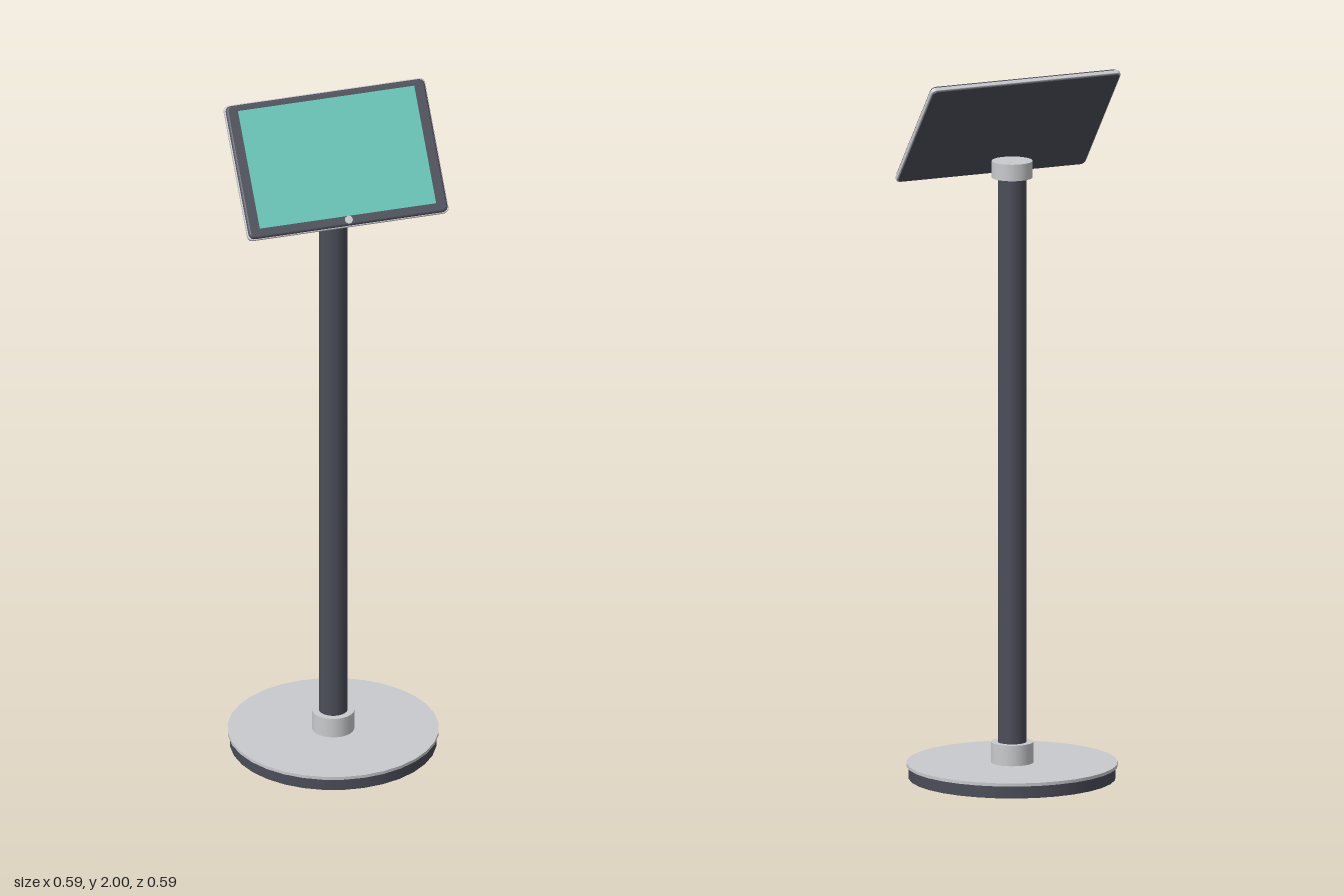
import * as THREE from 'three';

const material = (name, color) => {
  const m = new THREE.MeshStandardMaterial({ color });
  m.name = name;
  return m;
};

// Slab with rounded corners and bevelled edges, spanning z0..z1
function slab(w, h, radius, z0, z1, bevel) {
  const x = w / 2 - bevel, y = h / 2 - bevel, r = radius;
  const s = new THREE.Shape();
  s.moveTo(-x + r, -y);
  s.lineTo(x - r, -y);
  s.quadraticCurveTo(x, -y, x, -y + r);
  s.lineTo(x, y - r);
  s.quadraticCurveTo(x, y, x - r, y);
  s.lineTo(-x + r, y);
  s.quadraticCurveTo(-x, y, -x, y - r);
  s.lineTo(-x, -y + r);
  s.quadraticCurveTo(-x, -y, -x + r, -y);
  const g = new THREE.ExtrudeGeometry(s, {
    depth: z1 - z0 - 2 * bevel, curveSegments: 5,
    bevelEnabled: true, bevelThickness: bevel, bevelSize: bevel, bevelSegments: 3,
  });
  return g.translate(0, 0, z0 + bevel);
}

// Upright cylinder spanning y0..y1
const column = (r, y0, y1) =>
  new THREE.CylinderGeometry(r, r, y1 - y0, 32).translate(0, (y0 + y1) / 2, 0);

export function createModel() {
  const dark = material('darkSlate', 0x4b4d58);
  const light = material('lightMetal', 0xc9cacd);
  const teal = material('tealScreen', 0x65c3b7);

  const model = new THREE.Group();
  model.name = 'tabletStand';
  const add = (parent, name, geometry, mat) => {
    const mesh = new THREE.Mesh(geometry, mat);
    mesh.name = name;
    parent.add(mesh);
    return mesh;
  };

  // Round foot, pole and collars
  add(model, 'footDisc', column(0.288, 0, 0.035), dark);
  add(model, 'footCover', column(0.294, 0.035, 0.044), light);
  add(model, 'pole', column(0.04, 0.04, 1.72), dark);
  add(model, 'lowerCollar', column(0.059, 0.04, 0.102), light);
  add(model, 'upperCollar', column(0.057, 1.703, 1.75), light);

  // Tilted tablet, layered from back to front
  const tablet = new THREE.Group();
  tablet.name = 'tablet';
  tablet.position.set(0, 1.845, 0.029);
  tablet.rotation.x = -THREE.MathUtils.degToRad(38);
  model.add(tablet);
  add(tablet, 'backPlate', slab(0.576, 0.378, 0.012, -0.012, -0.004, 0.002), dark);
  add(tablet, 'rim', slab(0.584, 0.386, 0.014, -0.009, 0.003, 0.002), light);
  add(tablet, 'bezel', slab(0.578, 0.38, 0.012, -0.005, 0.011, 0.006), dark);
  add(tablet, 'screen', new THREE.BoxGeometry(0.512, 0.336, 0.004).translate(0, 0.004, 0.0115), teal);

  // Home button under the screen
  const button = add(tablet, 'homeButton', new THREE.CylinderGeometry(0.011, 0.011, 0.008, 20), light);
  button.rotation.x = Math.PI / 2;
  button.position.set(0, -0.175, 0.012);

  return model;
}
